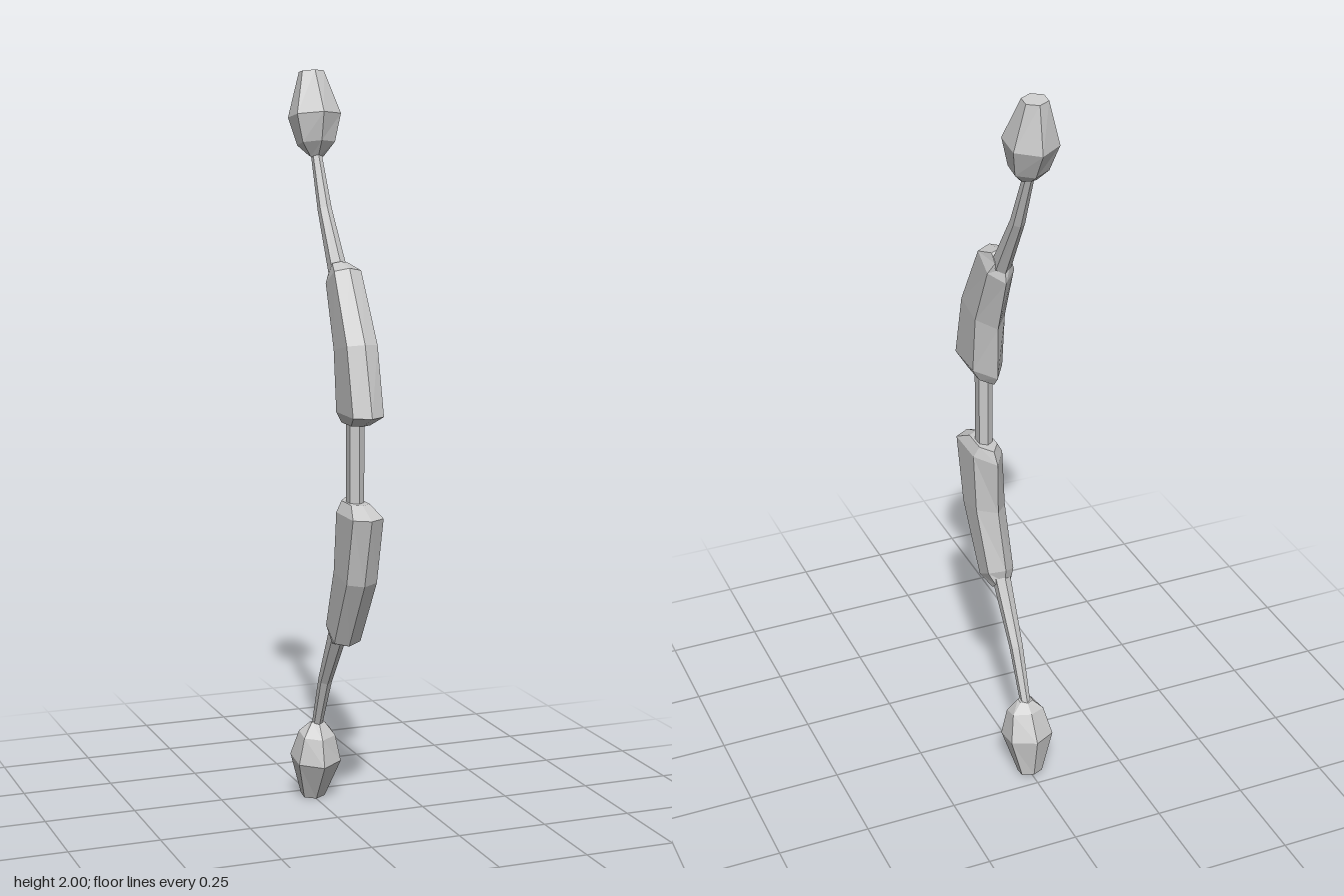
import * as THREE from 'three';

const material = new THREE.MeshStandardMaterial({ color: 0xcccccc, flatShading: true });

// Hexagonal ring with a point at front and back.
// ring: [frontZ, frontY, backZ, backY, halfWidth]; near/far place the side corners between the points.
function ringPoints([fz, fy, bz, by, w], near, far, side) {
  const at = (x, t) => [x, 1 + side * (fy + (by - fy) * t - 1), fz + (bz - fz) * t];
  return [at(0, 0), at(w, near), at(w, far), at(0, 1), at(-w, far), at(-w, near)];
}

// Skins a stack of rings and closes both ends; side = -1 mirrors it below the grip.
function loft(name, rings, side, near = 0.25, far = 0.75) {
  const positions = rings.flatMap((r) => ringPoints(r, near, far, side)).flat();
  const index = [];
  const tri = (a, b, c) => (side > 0 ? index.push(a, b, c) : index.push(a, c, b));
  for (let i = 0; i < rings.length - 1; i++) {
    for (let k = 0; k < 6; k++) {
      const a = i * 6 + k, b = i * 6 + ((k + 1) % 6);
      tri(a, b, b + 6);
      tri(a, b + 6, a + 6);
    }
  }
  const last = (rings.length - 1) * 6;
  for (let k = 1; k < 5; k++) {
    tri(0, k + 1, k);
    tri(last, last + k, last + k + 1);
  }
  const geometry = new THREE.BufferGeometry();
  geometry.setAttribute('position', new THREE.Float32BufferAttribute(positions, 3));
  geometry.setIndex(index);
  const flat = geometry.toNonIndexed();
  flat.computeVertexNormals();
  const mesh = new THREE.Mesh(flat, material);
  mesh.name = name;
  return mesh;
}

// Thick bent riser beside the grip
const riser = [
  [0.18, 1.103, 0.055, 1.103, 0.026],
  [0.246, 1.132, 0.03, 1.132, 0.042],
  [0.195, 1.315, 0.027, 1.28, 0.042],
  [0.085, 1.5, -0.026, 1.435, 0.037],
  [0.022, 1.512, -0.018, 1.475, 0.022],
];

// Slim limb
const limb = [
  [0.03, 1.495, -0.02, 1.46, 0.021],
  [-0.078, 1.648, -0.115, 1.63, 0.016],
  [-0.146, 1.79, -0.176, 1.777, 0.012],
];

// Faceted bulb at the end of the limb
const bulb = [
  [-0.145, 1.772, -0.178, 1.778, 0.018],
  [-0.116, 1.818, -0.205, 1.797, 0.045],
  [-0.1, 1.893, -0.246, 1.868, 0.061],
  [-0.167, 2.0, -0.225, 1.99, 0.03],
];

export function createModel() {
  const model = new THREE.Group();
  model.name = 'bow';

  // Hexagonal grip
  const grip = new THREE.Mesh(new THREE.CylinderGeometry(0.03, 0.03, 0.24, 6), material);
  grip.scale.x = 0.75;
  grip.position.set(0, 1, 0.126);
  grip.name = 'grip';
  model.add(grip);

  // Upper and lower halves
  for (const side of [1, -1]) {
    const half = new THREE.Group();
    half.name = side > 0 ? 'upperHalf' : 'lowerHalf';
    half.add(
      loft('riser', riser, side, 0.12, 0.68),
      loft('limb', limb, side),
      loft('bulb', bulb, side),
    );
    model.add(half);
  }
  return model;
}
